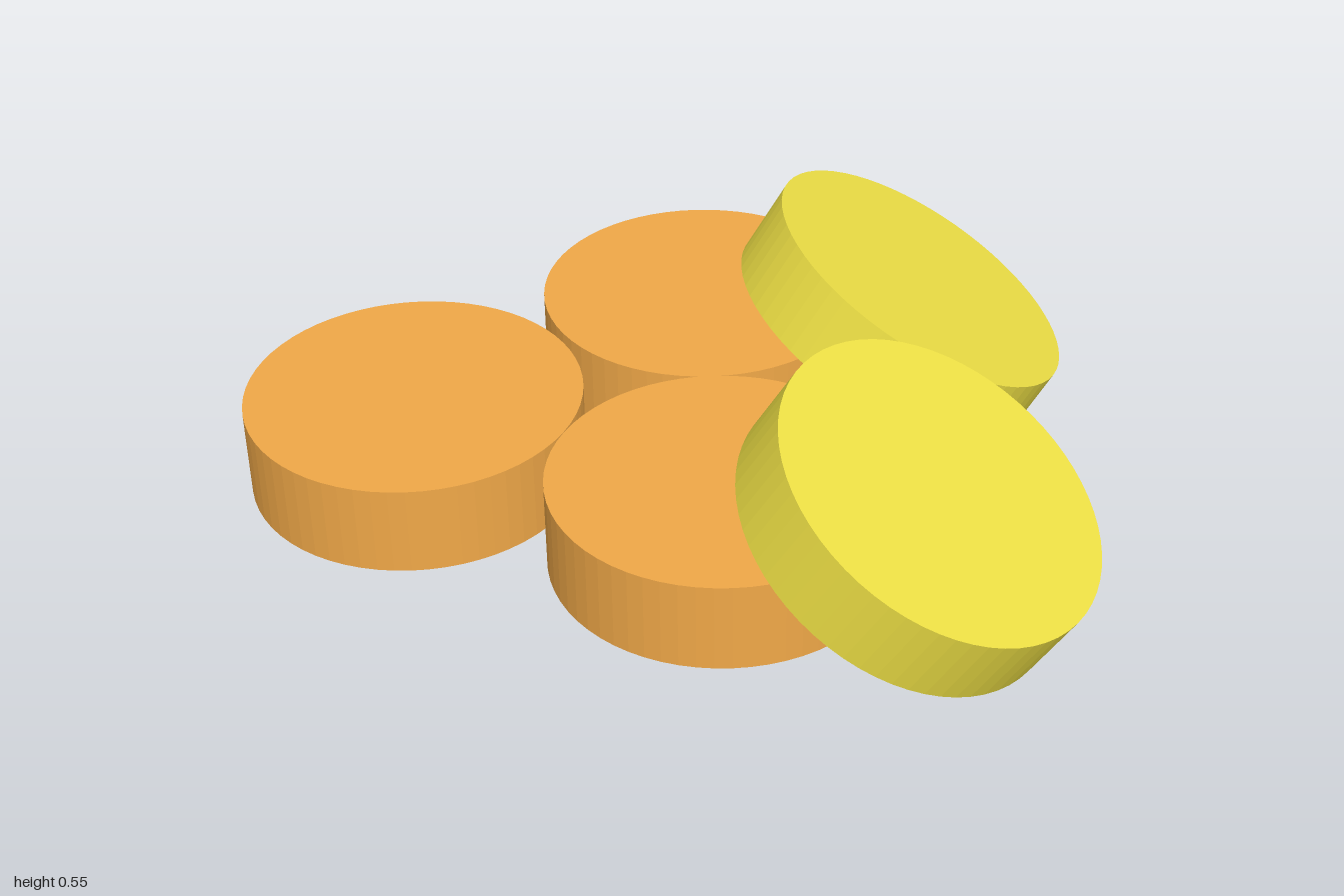
import * as THREE from 'three';

const RADIUS = 0.386;

// A plain disc, centred at (x, y, z), leaning by tilt towards a yawed +x
function disc(name, color, height, [x, y, z], tilt = 0, yaw = 0) {
  const mesh = new THREE.Mesh(
    new THREE.CylinderGeometry(RADIUS, RADIUS, height, 64),
    new THREE.MeshStandardMaterial({ color, flatShading: true })
  );
  mesh.name = name;
  mesh.position.set(x, y, z);
  mesh.rotation.set(0, THREE.MathUtils.degToRad(yaw), THREE.MathUtils.degToRad(-tilt), 'YXZ');
  return mesh;
}

export function createModel() {
  const group = new THREE.Group();
  group.name = 'discPile';

  // Three flat discs touching each other
  const flat = { rightFlatDisc: [-0.614, 0.378], leftFlatDisc: [0.159, 0.378], backFlatDisc: [-0.206, -0.3] };
  for (const [name, [x, z]] of Object.entries(flat)) {
    group.add(disc(name, 0xf0a848, 0.213, [x, 0.129, z]));
  }

  // Two discs leaning on the flat ones
  group.add(disc('frontLeaningDisc', 0xeee045, 0.187, [0.615, 0.278, 0.378], 30));
  group.add(disc('backLeaningDisc', 0xeee045, 0.187, [0.283, 0.276, -0.371], 30, 27));

  return group;
}
